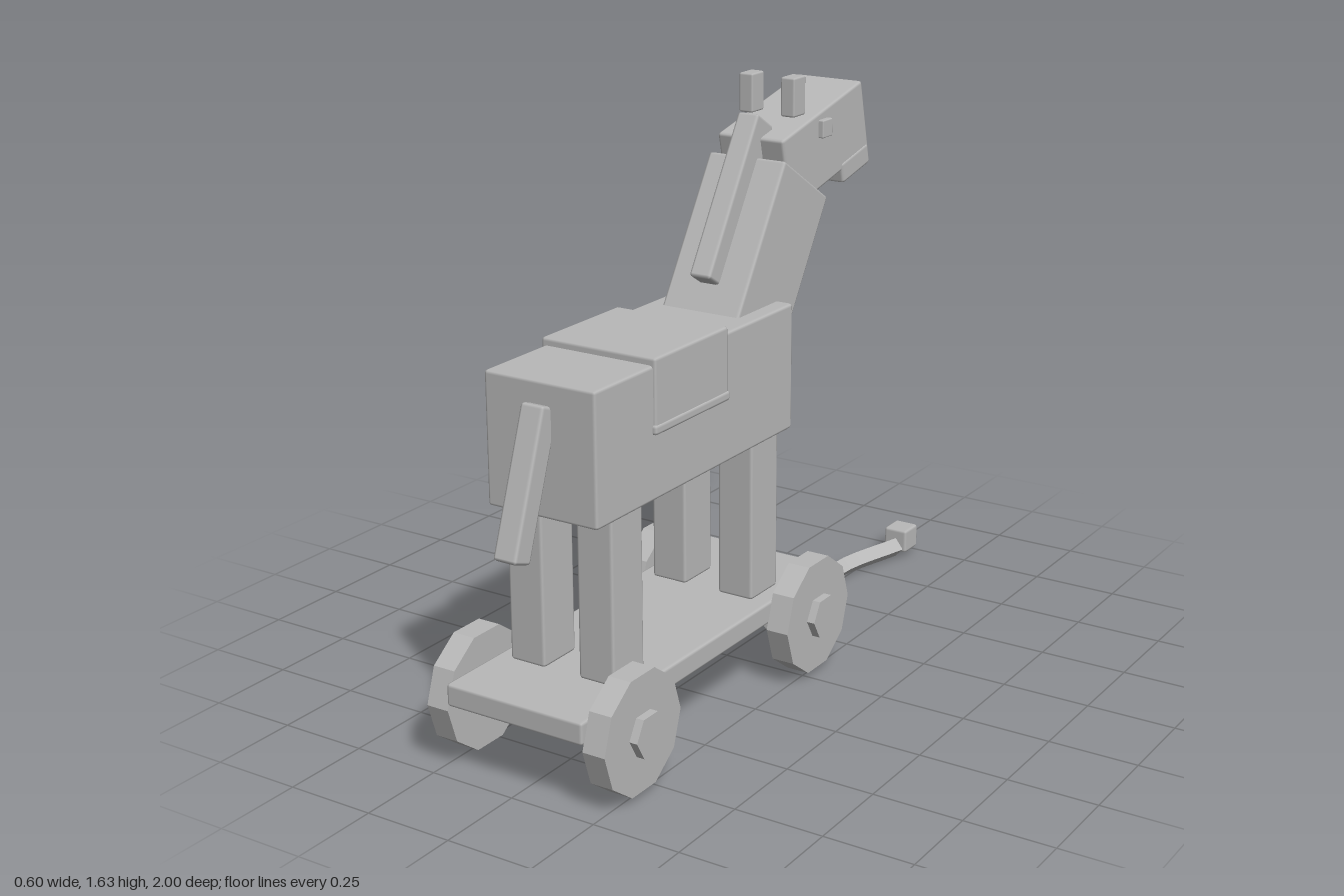
import * as THREE from 'three';
import { RoundedBoxGeometry } from 'three/addons/geometries/RoundedBoxGeometry.js';

export function createModel() {
  const model = new THREE.Group();
  model.name = 'pullAlongHorse';
  const grey = new THREE.MeshStandardMaterial({ color: 0xb8b8b8 });
  grey.name = 'plainGrey';

  function add(name, geometry, x, y, z, tilt = 0) {
    const mesh = new THREE.Mesh(geometry, grey);
    mesh.name = name;
    mesh.position.set(x, y, z);
    mesh.rotation.x = THREE.MathUtils.degToRad(tilt);
    model.add(mesh);
  }
  // Box with softened edges, tilted about x in degrees
  function box(name, [w, h, d], [x, y, z], tilt = 0, radius = 0.009) {
    add(name, new RoundedBoxGeometry(w, h, d, 1, radius), x, y, z, tilt);
  }
  // Faceted geometry with hard normals
  function faceted(geometry) {
    const flat = geometry.toNonIndexed();
    flat.computeVertexNormals();
    return flat;
  }
  // Disc lying along the x axis
  function disc(radius, width, sides) {
    return faceted(new THREE.CylinderGeometry(radius, radius, width, sides).rotateZ(Math.PI / 2));
  }

  // Platform and body
  box('platform', [0.42, 0.063, 1.2], [0, 0.227, 0.385]);
  box('body', [0.334, 0.355, 0.916], [0, 0.878, 0.388]);
  box('saddle', [0.35, 0.196, 0.335], [0, 0.978, 0.434]);
  box('saddleTrim', [0.358, 0.028, 0.344], [0, 0.889, 0.434]);

  // Neck, mane, head and tail
  box('neck', [0.242, 0.56, 0.27], [0, 1.125, -0.068], -32);
  box('mane', [0.066, 0.47, 0.094], [0, 1.327, -0.024], -31.5);
  box('head', [0.208, 0.21, 0.44], [0, 1.43, -0.353], 13);
  box('jaw', [0.214, 0.06, 0.155], [0, 1.351, -0.512], 13);
  box('tail', [0.07, 0.39, 0.066], [0, 0.81, 0.907], -19.3);

  for (const side of [-1, 1]) {
    box('ear', [0.044, 0.108, 0.062], [side * 0.066, 1.583, -0.23], 0, 0.006);
    box('eye', [0.03, 0.05, 0.052], [side * 0.104, 1.483, -0.33], 0, 0.004);

    // Legs, wheels and hubs
    for (const [name, legZ, wheelZ] of [['front', 0.063, -0.04], ['rear', 0.713, 0.817]]) {
      box(name + 'Leg', [0.109, 0.47, 0.135], [side * 0.108, 0.493, legZ]);
      add(name + 'Wheel', disc(0.166, 0.066, 10), side * 0.242, 0.181, wheelZ);
      add(name + 'Hub', disc(0.061, 0.1, 6), side * 0.248, 0.181, wheelZ);
    }
  }

  // Pull cord with a square section
  const path = new THREE.CatmullRomCurve3([
    new THREE.Vector3(0, 0.035, -0.215),
    new THREE.Vector3(0.015, 0.035, -0.4),
    new THREE.Vector3(-0.012, 0.035, -0.66),
    new THREE.Vector3(0.05, 0.035, -0.915),
  ]);
  add('pullCord', faceted(new THREE.TubeGeometry(path, 12, 0.03, 4)), 0, 0, 0);

  // Cord ends, closed with small diamond caps
  for (const [x, z, turn] of [[0, -0.215, 0], [0.05, -0.915, Math.PI]]) {
    add('cordEnd', new THREE.CircleGeometry(0.03, 4).rotateY(turn), x, 0.035, z);
  }
  box('pullHandle', [0.077, 0.074, 0.08], [0.044, 0.055, -0.96]);

  return model;
}
